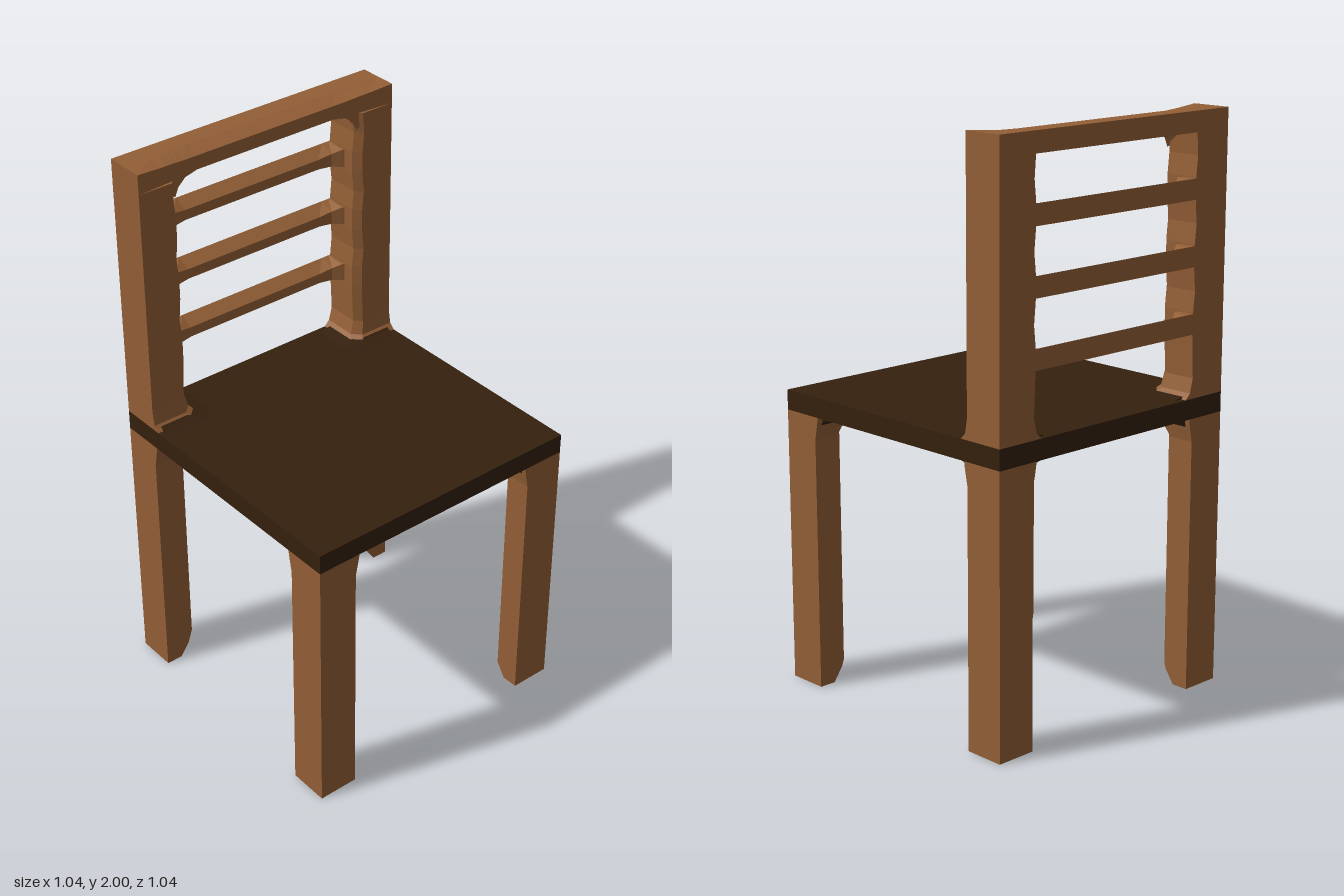
import * as THREE from 'three';

const HALF = 0.52; // half width and depth of the chair
const SEAT_BOTTOM = 0.97;
const SEAT_TOP = 1.04;

// Closed solid through a row of cross-sections, each an array of [x, y, z]
function loft(rings) {
  const n = rings[0].length;
  const tris = [];
  for (let r = 0; r < rings.length - 1; r++) {
    for (let i = 0; i < n; i++) {
      const j = (i + 1) % n;
      const [a, b, c, d] = [rings[r][i], rings[r][j], rings[r + 1][j], rings[r + 1][i]];
      tris.push([a, b, c], [a, c, d]);
    }
  }
  const last = rings[rings.length - 1];
  for (let i = 1; i < n - 1; i++) {
    tris.push([rings[0][0], rings[0][i + 1], rings[0][i]], [last[0], last[i], last[i + 1]]);
  }
  // turn the faces outward whichever way the sections run
  const v = (p) => new THREE.Vector3(...p);
  const volume = tris.reduce((s, [a, b, c]) => s + v(a).dot(v(b).cross(v(c))), 0);
  const points = tris.flatMap((t) => (volume < 0 ? [t[0], t[2], t[1]] : t));
  const geometry = new THREE.BufferGeometry();
  geometry.setAttribute('position', new THREE.Float32BufferAttribute(points.flat(), 3));
  geometry.computeVertexNormals();
  return geometry;
}

// Upright at a corner: square outside, chamfered on the inner corner.
// Levels are [y, inward x, inward z, chamfer, lift of the inner corner]
function upright(levels, sx, sz, inset = 0) {
  return loft(levels.map(([y, u, w, c, lift = 0]) => [
    [inset, inset, 0], [u, inset, 0], [u, 0.06, 0], [u, w - c, lift],
    [u - c, w, lift], [0.06, w, 0], [inset, w, 0],
  ].map(([px, pz, dy]) => [sx * (HALF - px), y + dy, sz * (HALF - pz)])));
}

export function createModel() {
  const model = new THREE.Group();
  const wood = new THREE.MeshStandardMaterial({ color: 0x935f36 });
  wood.name = 'brown wood';
  const dark = new THREE.MeshStandardMaterial({ color: 0x35200d });
  dark.name = 'dark seat';

  const add = (name, geometry, material) => {
    const mesh = new THREE.Mesh(geometry, material);
    mesh.name = name;
    model.add(mesh);
    return mesh;
  };

  // Seat board
  add('seat', new THREE.BoxGeometry(2 * HALF, SEAT_TOP - SEAT_BOTTOM, 2 * HALF), dark)
    .position.y = (SEAT_TOP + SEAT_BOTTOM) / 2;

  // Legs, with dark fillets where they meet the seat
  const legLevels = [
    [0, 0.145, 0.145, 0.05, 0.05], [0.1, 0.145, 0.145, 0.05],
    [0.89, 0.145, 0.145, 0.05], [0.94, 0.155, 0.155, 0.03], [SEAT_BOTTOM, 0.16, 0.16, 0.02],
  ];
  const filletLevels = [
    [0.93, 0.148, 0.148, 0.03], [0.955, 0.165, 0.165, 0.03], [SEAT_BOTTOM, 0.23, 0.23, 0.05],
  ];
  for (const sx of [1, -1]) {
    const side = sx > 0 ? 'Left' : 'Right';
    for (const sz of [1, -1]) {
      const end = sz > 0 ? 'front' : 'back';
      add(`${end}${side}Leg`, upright(legLevels, sx, sz), wood);
      add(`${end}${side}LegFillet`, upright(filletLevels, sx, sz, 0.02), dark);
    }
  }

  // Back posts, slightly thicker where the slats join
  const slatHeights = [1.295, 1.522, 1.745];
  const postLevels = [[SEAT_TOP, 0.18, 0.175, 0.03], [1.06, 0.16, 0.155, 0.03], [1.11, 0.147, 0.146, 0.025]];
  for (const y of slatHeights) {
    postLevels.push([y - 0.04, 0.153, 0.146, 0.025], [y + 0.04, 0.153, 0.146, 0.025]);
    postLevels.push([y + 0.11, 0.146, 0.146, 0.025]);
  }
  postLevels.push([1.93, 0.152, 0.146, 0.025]);
  const footLevels = [
    [SEAT_TOP, 0.22, 0.2, 0.04], [1.048, 0.17, 0.17, 0.03], [1.057, 0.148, 0.155, 0.03],
  ];
  for (const sx of [1, -1]) {
    const side = sx > 0 ? 'left' : 'right';
    add(`${side}BackPost`, upright(postLevels, sx, -1), wood);
    add(`${side}PostFillet`, upright(footLevels, sx, -1, 0.02), dark);
  }

  // Top rail: hollowed front, sloped top edge and rounded lower corners
  // Stations are [x, front z, front top y, front bottom y]
  const railHalf = [
    [0.52, -0.374, 2, 1.93], [0.42, -0.382, 1.992, 1.9], [0.375, -0.385, 1.99, 1.87],
    [0.36, -0.387, 1.988, 1.9], [0.33, -0.389, 1.986, 1.925], [0.28, -0.392, 1.984, 1.935],
  ];
  const mirrored = (half) => [
    ...half.map(([x, ...rest]) => [-x, ...rest]),
    ...half.slice().reverse(),
  ];
  add('topRail', loft(mirrored(railHalf).map(([x, z, top, bottom]) => [
    [x, 1.93, -HALF], [x, 1.93, -0.47], [x, bottom, z], [x, top, z], [x, 2, -0.45], [x, 2, -HALF],
  ])), wood);

  // Slats, flush with the back and flaring into the posts
  // Stations are [x, front z, drop of the front top edge]
  const slatHalf = [[0.385, -0.43, 0], [0.36, -0.445, 0.004], [0.33, -0.465, 0.018], [0.28, -0.473, 0.027]];
  slatHeights.forEach((y, i) => {
    add(`slat${i + 1}`, loft(mirrored(slatHalf).map(([x, z, drop]) => [
      [x, y - 0.035, -HALF], [x, y - 0.035 + drop * 0.25, z],
      [x, y + 0.035 - drop, z], [x, y + 0.035, -HALF],
    ])), wood);
  });

  return model;
}
